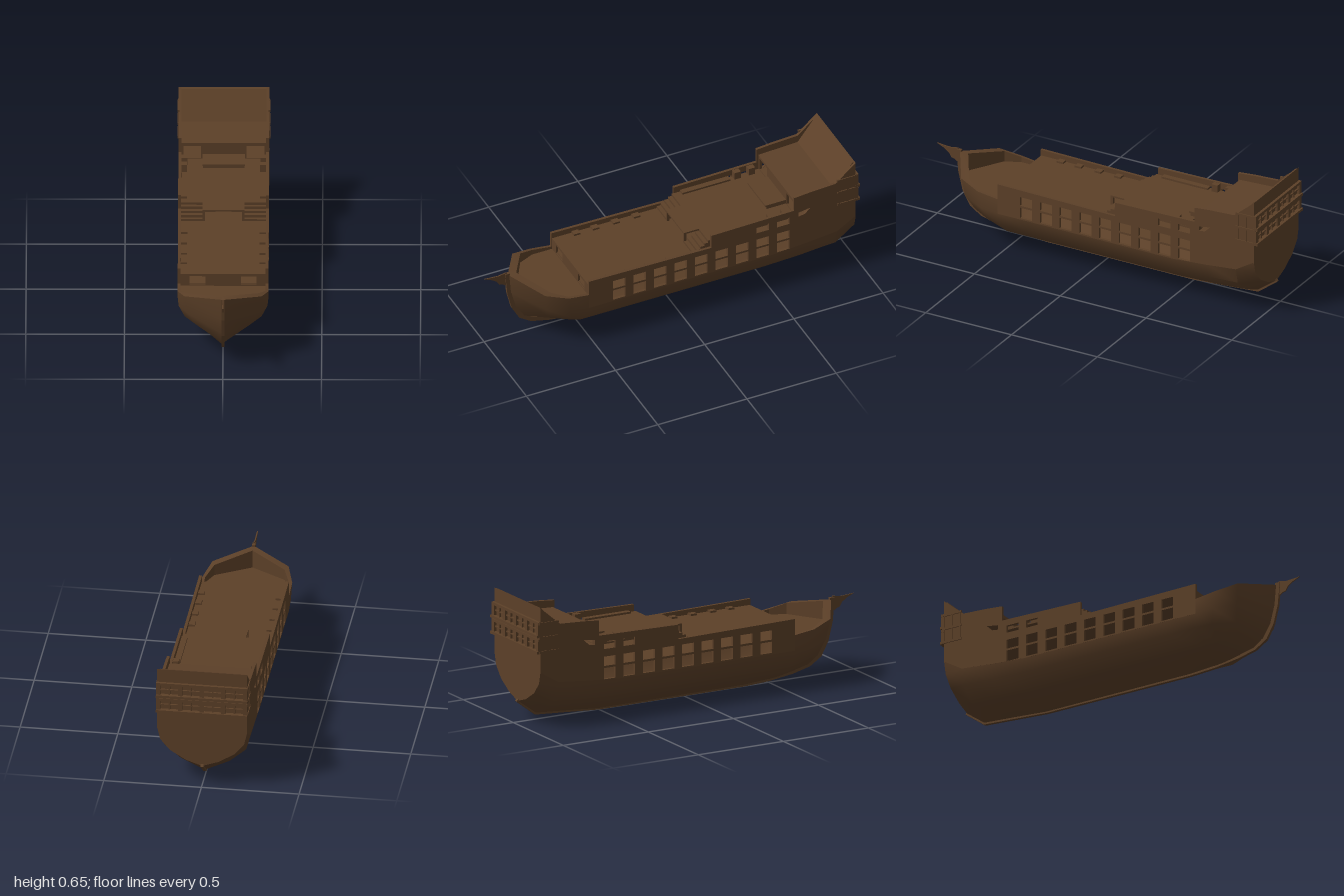
import * as THREE from 'three';
import { toCreasedNormals } from 'three/addons/utils/BufferGeometryUtils.js';

const wood = new THREE.MeshStandardMaterial({ color: 0x5c4028, side: THREE.DoubleSide });

// Skin of quads between rows of [x, y, z] points
function loft(rows, crease = 0.75) {
  const pos = [];
  const tri = (...p) => {
    const [a, b, c] = p.map(q => new THREE.Vector3(...q));
    if (b.clone().sub(a).cross(c.clone().sub(a)).length() > 1e-7) p.forEach(q => pos.push(...q));
  };
  for (let i = 0; i < rows.length - 1; i++) {
    for (let j = 0; j < rows[i].length - 1; j++) {
      const a = rows[i][j], b = rows[i][j + 1], c = rows[i + 1][j + 1], d = rows[i + 1][j];
      tri(a, b, c);
      tri(a, c, d);
    }
  }
  const g = new THREE.BufferGeometry();
  g.setAttribute('position', new THREE.Float32BufferAttribute(pos, 3));
  return toCreasedNormals(g, crease);
}

const toShape = pts => new THREE.Shape(pts.map(p => new THREE.Vector2(...p)));
const rect = (a0, b0, a1, b1) => [[a0, b0], [a1, b0], [a1, b1], [a0, b1]];

function plate(pts, holes, depth) {
  const s = toShape(pts);
  holes.forEach(h => s.holes.push(toShape(h)));
  return new THREE.ExtrudeGeometry(s, { depth, bevelEnabled: false });
}
// Side profile in (z, y), running from x0 to x1
const profile = (pts, x0, x1, holes = []) =>
  plate(pts, holes, x1 - x0).rotateY(-Math.PI / 2).translate(x1, 0, 0);
// Front profile in (x, y), running from z0 to z1
const panel = (pts, z0, z1, holes = []) => plate(pts, holes, z1 - z0).translate(0, 0, z0);

export function createModel() {
  const ship = new THREE.Group();
  ship.name = 'sailingShipHull';
  const add = (name, geometry, parent = ship) => {
    const m = new THREE.Mesh(geometry, wood);
    m.name = name;
    parent.add(m);
    return m;
  };
  const box = (name, x0, x1, y0, y1, z0, z1, parent = ship) =>
    add(name, new THREE.BoxGeometry(x1 - x0, y1 - y0, z1 - z0)
      .translate((x0 + x1) / 2, (y0 + y1) / 2, (z0 + z1) / 2), parent);

  // Lower hull: half sections from rail to keel, bow to stern
  const level = z => [[.23, .22, z], [.23, .22, z], [.21, .15, z], [.13, .075, z]];
  const halves = [
    [[0, .385, .868], [0, .27, .858], [0, .17, .832], [0, .1, .79], [0, .06, .735]],
    [[.195, .345, .75], [.178, .24, .735], [.135, .16, .705], [.07, .1, .685], [0, .04, .65]],
    [[.23, .315, .635], [.225, .225, .62], [.195, .155, .6], [.115, .085, .58], [0, .022, .56]],
    [[.23, .3, .52], ...level(.52).slice(1), [0, .016, .5]],
    [...level(.52), [0, .016, .5]],
    [...level(.35), [0, .006, .35]],
    [...level(-.5), [0, .004, -.5]],
    [[.23, .235, -.7], [.23, .235, -.7], [.21, .157, -.7], [.13, .082, -.7], [0, .02, -.7]],
    [[.23, .25, -.87], [.23, .25, -.87], [.21, .165, -.87], [.125, .092, -.87], [0, .032, -.87]],
    [[.23, .315, -.975], [.215, .25, -.975], [.165, .19, -.975], [.085, .14, -.975], [0, .11, -.975]],
  ];
  const mirror = ([x, y, z]) => [-x, y, z];
  const sections = halves.map(h => [...h, ...h.slice(0, -1).reverse().map(mirror)]);
  add('lowerHull', loft(sections));
  add('transom', new THREE.ShapeGeometry(toShape(sections[9].map(([x, y]) => [x, y])))
    .translate(0, 0, -.975));

  // Bow rail: outer edge, inner edge and inner wall
  const outer = halves.slice(0, 4).map(h => h[0]);
  const inner = [[0, .383, .82], [.18, .344, .712], [.215, .315, .63], [.215, .3, .515]];
  const foot = inner.map(([x, , z]) => [x, .285, z]);
  const both = row => [...row.slice(1).reverse().map(mirror), ...row];
  add('bowRail', loft([outer, inner, foot].map(both), .4));
  add('foredeck', new THREE.ShapeGeometry(toShape(both(foot).map(([x, , z]) => [x, -z])))
    .rotateX(-Math.PI / 2).translate(0, .286, 0));
  add('forwardBulkhead', panel(rect(-.216, .22, .216, .352), .505, .517,
    [rect(-.17, .29, -.09, .34), rect(.09, .29, .17, .34)]));

  // Keel with stem and stern heel
  add('keelAndStem', profile([
    [.885, .395], [.873, .27], [.848, .17], [.806, .095], [.74, .052], [.64, .027], [.5, .008], [.35, 0],
    [-.5, 0], [-.7, .014], [-.875, .026], [-.985, .11], [-.975, .122], [-.86, .045], [-.5, .015],
    [.35, .016], [.62, .045], [.73, .075], [.78, .11], [.82, .175], [.85, .27], [.858, .395],
  ], -.008, .008));
  add('beak', profile([[1, .4], [.96, .396], [.92, .394], [.875, .402], [.868, .33], [.885, .325], [.9, .336],
    [.915, .338], [.93, .362], [.955, .38]], -.003, .003));

  // Upper side walls with gun ports
  const wall = [[.52, .218], [.52, .385], [-.15, .376], [-.165, .376], [-.165, .452], [-.63, .46], [-.63, .54],
    [-.72, .548], [-.86, .555], [-.975, .652], [-.975, .315], [-.87, .25], [-.7, .233], [-.5, .218]];
  const ports = [];
  for (let i = 0; i < 9; i++) {
    const z = .352 - i * .115;
    ports.push(rect(z - .035, .226, z + .035, .285), rect(z - .035, .296, z + .035, .345));
    if (i > 6) ports.push(rect(z - .035, .385, z + .035, .425));
  }
  ports.push([[-.655, .415], [-.655, .44], [-.72, .45], [-.69, .42]]);
  add('leftSideWall', profile(wall, .215, .23, ports));
  add('rightSideWall', profile(wall, -.23, -.215, ports));

  // Decks
  box('gunDeck', -.216, .216, .286, .295, -.97, .51);
  box('mainDeck', -.216, .216, .346, .353, -.97, .517);
  box('quarterDeck', -.216, .216, .407, .416, -.97, -.17);
  box('quarterDeckLanding', -.107, .107, .407, .416, -.17, -.07);
  add('quarterDeckFront', panel(rect(-.216, .35, .216, .41), -.18, -.17, [rect(-.04, .354, .04, .402)]));
  for (const x of [-.1, .1]) box('landingPost', x - .007, x + .007, .35, .41, -.085, -.07);

  // Poop deck rising into the sloped stern board
  add('poopDeck', profile([[-.64, .49], [-.64, .505], [-.86, .515], [-.963, .648], [-.975, .652],
    [-.975, .49]], -.216, .216));
  add('cabinFront', panel(rect(-.216, .414, .216, .495), -.655, -.642,
    [rect(-.205, .42, -.115, .488), rect(.115, .42, .205, .488)]));
  box('cabinHatch', -.105, .105, .414, .433, -.645, -.535);
  box('cabinHatchLid', -.108, .108, .433, .441, -.645, -.527);
  box('sternWall', -.23, .23, .31, .5, -.975, -.963);

  // Deck fittings on both sides
  for (const s of [-1, 1]) {
    const side = new THREE.Group();
    side.name = s > 0 ? 'leftFittings' : 'rightFittings';
    ship.add(side);
    const at = (name, x0, x1, ...r) => box(name, Math.min(s * x0, s * x1), Math.max(s * x0, s * x1), ...r, side);
    for (let i = 0; i < 5; i++) {
      at('stairStep', .107, .216, .352, .364 + i * .013, -.175, -.07 - i * .021);
    }
    for (const z of [.055, .17, .285, .39]) at('deckBlock', .183, .216, .35, .363, z - .018, z + .018);
    at('sideBench', .185, .216, .414, .426, -.47, -.2);
    for (const z of [-.51, -.59]) at('sternBlock', .185, .216, .414, .456, z - .018, z + .018);

    // Side return of the stern gallery
    for (const y of [.42, .495, .57]) at('galleryLedge', .225, .235, y - .006, y + .006, -.985, -.87);
    for (const z of [-.88, -.93, -.975]) at('galleryMullion', .225, .233, .42, .57, z - .005, z + .005);
  }

  // Stern gallery: two rows of framed windows
  const gallery = new THREE.Group();
  gallery.name = 'sternGallery';
  ship.add(gallery);
  for (const [y, z] of [[.42, -.998], [.485, -.99], [.505, -.998], [.572, -.99]]) {
    box('galleryRail', -.234, .234, y - .007, y + .007, z, -.97, gallery);
  }
  for (const y of [.42, .505]) {
    for (let i = 0; i < 5; i++) {
      const x = -.222 + i * .111;
      box('galleryPost', x - .011, x + .011, y, y + .065, -.99, -.97, gallery);
      if (i === 4) continue;
      box('windowBar', x + .052, x + .059, y, y + .065, -.984, -.97, gallery);
      box('windowCrossbar', x, x + .111, y + .03, y + .036, -.984, -.97, gallery);
    }
  }
  return ship;
}
